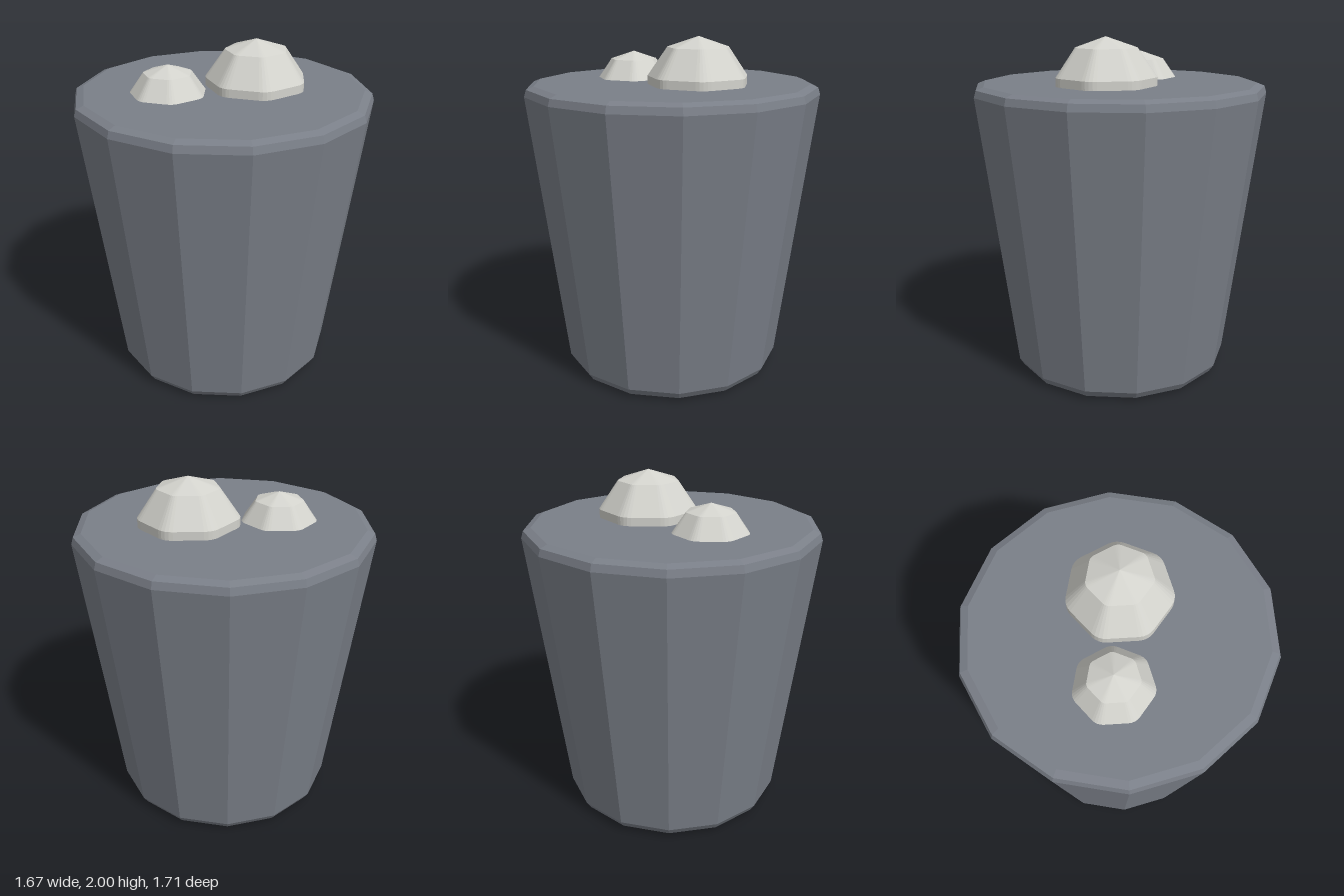
import * as THREE from 'three';

const slate = new THREE.MeshStandardMaterial({ color: 0x7a7f88, flatShading: true });
slate.name = 'slate grey';
const pale = new THREE.MeshStandardMaterial({ color: 0xd3d3cd, flatShading: true });
pale.name = 'pale stone';

// Heptagon with rounded corners: a corner radius plus an outward offset
function roundedHeptagon(corner, offset, y) {
  const ring = [];
  const sides = 7, steps = 4, turn = (Math.PI * 2) / sides;
  for (let i = 0; i < sides; i++) {
    const a = i * turn;
    for (let j = 0; j <= steps; j++) {
      const b = a + (j / steps - 0.5) * turn;
      ring.push([
        corner * Math.sin(a) + offset * Math.sin(b), y,
        -corner * Math.cos(a) - offset * Math.cos(b),
      ]);
    }
  }
  return ring;
}

// Domed stone: straight band, sloping side and a shallow faceted cap
function stoneGeometry() {
  const rings = [
    roundedHeptagon(0.19, 0.1, 0),
    roundedHeptagon(0.19, 0.1, 0.055),
    roundedHeptagon(0.13, 0.048, 0.215),
    roundedHeptagon(0, 0, 0.275),
  ];
  const n = rings[0].length;
  const index = [];
  for (let r = 0; r < rings.length - 1; r++) {
    for (let i = 0; i < n; i++) {
      const a = r * n + i, b = r * n + ((i + 1) % n);
      index.push(a, a + n, b);
      if (r < rings.length - 2) index.push(b, a + n, b + n);
    }
  }
  const geometry = new THREE.BufferGeometry();
  geometry.setAttribute('position', new THREE.Float32BufferAttribute(rings.flat(2), 3));
  geometry.setIndex(index);
  geometry.computeVertexNormals();
  return geometry;
}

export function createModel() {
  const model = new THREE.Group();
  model.name = 'taperedBlockWithStones';

  // Tapered fourteen-sided block with bevelled rims
  const profile = [
    [0, 0], [0.585, 0], [0.63, 0.017], [0.657, 0.06],
    [0.855, 1.675], [0.843, 1.715], [0.8, 1.732], [0, 1.732],
  ].map(([r, y]) => new THREE.Vector2(r, y));
  const block = new THREE.Mesh(new THREE.LatheGeometry(profile, 14), slate);
  block.name = 'block';
  model.add(block);

  // Two domed stones on top, the smaller one sunk slightly deeper
  const geometry = stoneGeometry();
  for (const [name, x, y, z, s] of [
    ['largeStone', 0.165, 1.725, -0.108, 1],
    ['smallStone', -0.27, 1.677, 0.16, 0.775],
  ]) {
    const stone = new THREE.Mesh(geometry, pale);
    stone.name = name;
    stone.position.set(x, y, z);
    stone.scale.setScalar(s);
    model.add(stone);
  }
  return model;
}
